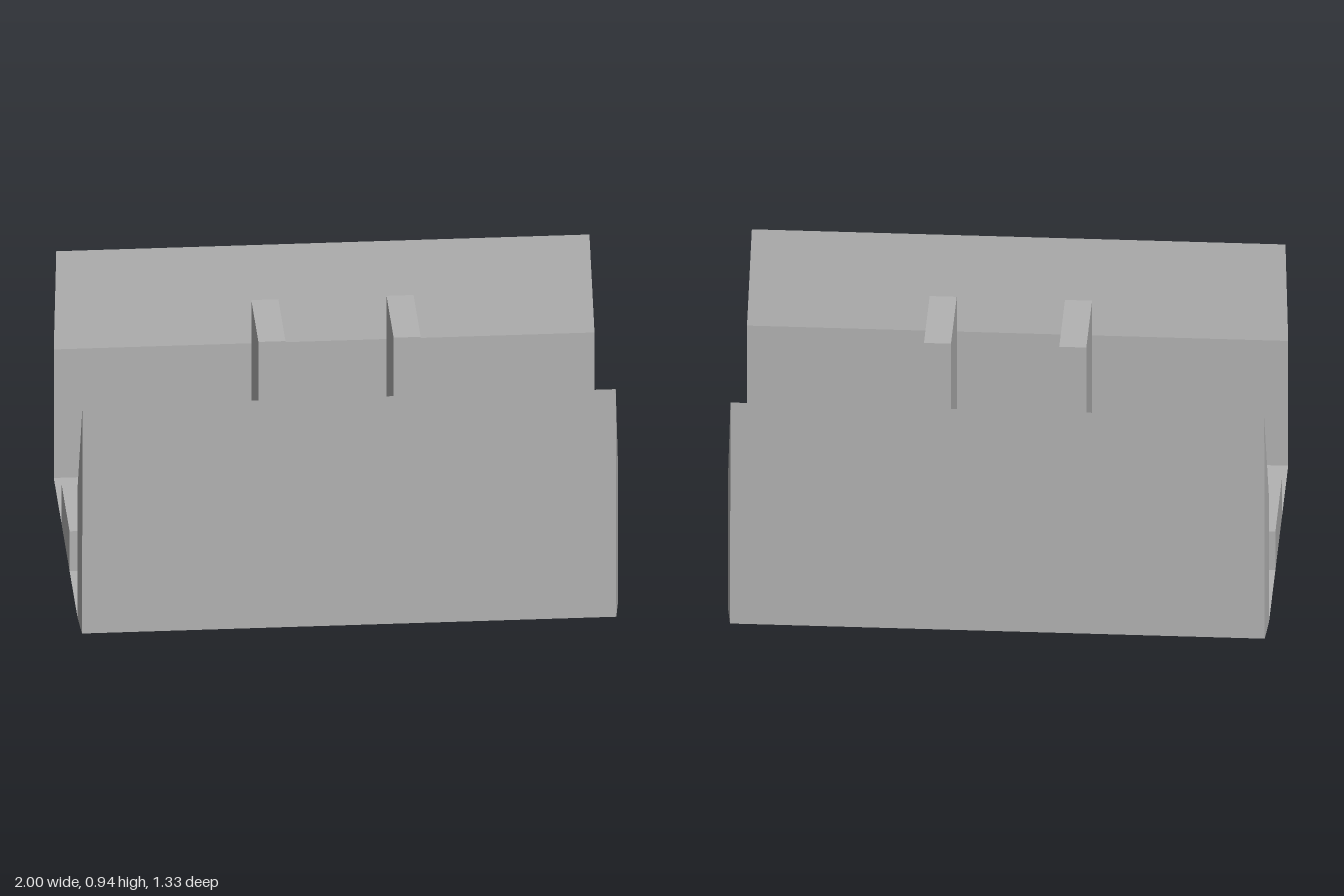
import * as THREE from 'three';

const FLOOR = 0.035;

export function createModel() {
  const root = new THREE.Group();
  const grey = new THREE.MeshStandardMaterial({ color: 0xb3b3b3 });
  grey.name = 'plainGrey';

  function add(name, geometry) {
    const mesh = new THREE.Mesh(geometry, grey);
    mesh.name = name;
    root.add(mesh);
    return mesh;
  }

  // Box given by its x, y and z ranges
  function block(name, [x0, x1], [y0, y1], [z0, z1]) {
    const mesh = add(name, new THREE.BoxGeometry(x1 - x0, y1 - y0, z1 - z0));
    mesh.position.set((x0 + x1) / 2, (y0 + y1) / 2, (z0 + z1) / 2);
  }

  // Side outline in x and y, extruded along z
  function prism(name, outline, z0, z1) {
    const shape = new THREE.Shape(outline.map(([x, y]) => new THREE.Vector2(x, y)));
    const geometry = new THREE.ExtrudeGeometry(shape, { depth: z1 - z0, bevelEnabled: false });
    geometry.translate(0, 0, z0);
    add(name, geometry);
  }

  // Open-ended trough: z, y and half length for each corner, counter-clockwise seen from -x
  const section = [
    [-0.665, 0, 0.988], [0.665, 0, 0.988], [0.665, 0.93, 0.986], [0.6, 0.56, 1],
    [0.6, FLOOR, 1], [-0.6, FLOOR, 1], [-0.6, 0.56, 1], [-0.665, 0.93, 0.986],
  ];
  const positions = [];
  const corner = (i, side) => [side * section[i][2], section[i][1], section[i][0]];
  const quad = (a, b, c, d) => positions.push(...a, ...b, ...c, ...a, ...c, ...d);
  section.forEach((_, i) => {
    const j = (i + 1) % section.length;
    quad(corner(i, -1), corner(i, 1), corner(j, 1), corner(j, -1));
  });
  // End faces of the floor and both walls
  for (const [a, b, c, d] of [[0, 1, 4, 5], [1, 2, 3, 4], [0, 5, 6, 7]]) {
    quad(corner(a, -1), corner(b, -1), corner(c, -1), corner(d, -1));
    quad(corner(d, 1), corner(c, 1), corner(b, 1), corner(a, 1));
  }
  const trough = new THREE.BufferGeometry();
  trough.setAttribute('position', new THREE.Float32BufferAttribute(positions, 3));
  trough.computeVertexNormals();
  add('floorAndWalls', trough);

  // Centre block
  block('centreBlock', [-0.1, 0.1], [FLOOR, 0.115], [-0.1, 0.1]);

  for (const s of [-1, 1]) {
    const span = (a, b) => (s > 0 ? [a, b] : [-b, -a]);

    // Tall slab with a low step on its outer side
    block('tower', span(0.2, 0.3), [FLOOR, 0.937], [-0.18, 0.18]);
    block('towerStep', span(0.3, 0.4), [FLOOR, 0.115], [-0.18, 0.18]);

    // End platform with a shallow lip in front
    prism('endPlatform', [
      [s, FLOOR], [s, 0.197], [s * 0.8, 0.197], [s * 0.8, 0.057], [s * 0.7, FLOOR],
    ], -0.2, 0.2);

    // Ramped platform along the wall, with a jutting centre
    const [z0, z1] = span(0.48, 0.6);
    prism('sideRamp', [
      [-0.33, FLOOR], [0.33, FLOOR], [0.14, 0.115], [-0.14, 0.115],
    ], z0, z1);
    block('sidePlatform', [-0.1, 0.1], [FLOOR, 0.115], span(0.38, 0.48));
  }

  return root;
}
